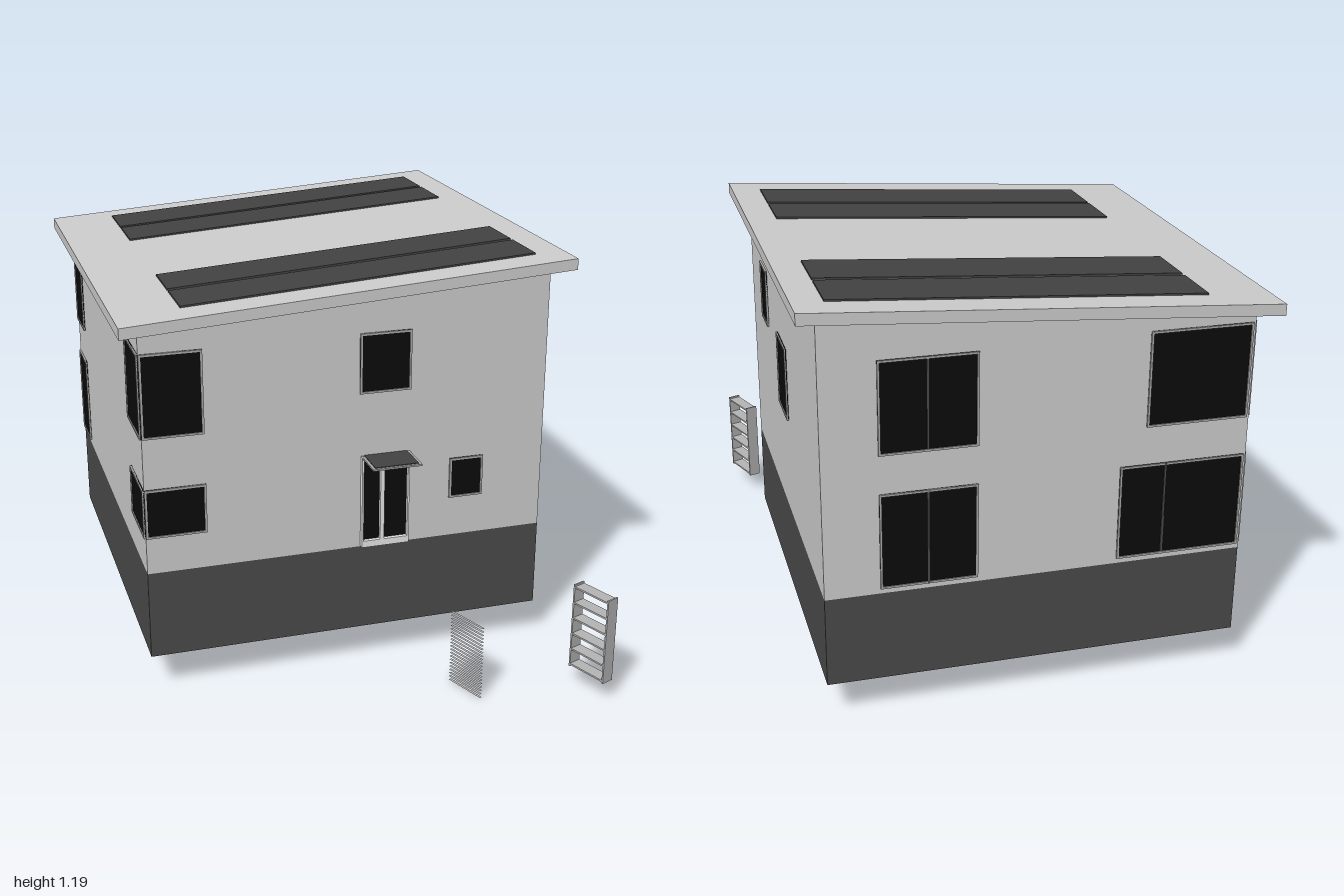
import * as THREE from 'three';

const mat = (name, color, side = THREE.FrontSide) => {
  const m = new THREE.MeshStandardMaterial({ color, side });
  m.name = name;
  return m;
};

export function createModel() {
  const wallMat = mat('pale grey render', 0xcccccc);
  const baseMat = mat('dark grey plinth', 0x4a4a4a);
  const glassMat = mat('black glass', 0x0b0b0b);
  const solarMat = mat('solar grey', 0x424242);
  const frameMat = mat('frame grey', 0xa8a8a8);
  const whiteMat = mat('white trim', 0xf0f0f0);
  const slatMat = mat('slat grey', 0xb4b4b4, THREE.DoubleSide);

  const model = new THREE.Group();
  const house = new THREE.Group();
  house.name = 'house';
  house.position.x = -0.17;
  house.rotation.y = -0.366;
  model.add(house);

  const HALF = 0.587, ROOF = 0.6425, SLOPE = -0.0677;

  // Box given by its limits on each axis
  function box(parent, name, material, [x0, x1], [y0, y1], [z0, z1]) {
    const mesh = new THREE.Mesh(new THREE.BoxGeometry(x1 - x0, y1 - y0, z1 - z0), material);
    mesh.position.set((x0 + x1) / 2, (y0 + y1) / 2, (z0 + z1) / 2);
    mesh.name = name;
    parent.add(mesh);
    return mesh;
  }

  // Tilts a box to the roof pitch; topOnly leaves the lower face level
  function pitch(mesh, topOnly = false) {
    const p = mesh.geometry.attributes.position;
    for (let i = 0; i < p.count; i++) {
      if (topOnly && p.getY(i) < 0) continue;
      p.setY(i, p.getY(i) + SLOPE * (p.getZ(i) + mesh.position.z));
    }
    mesh.geometry.computeVertexNormals();
  }

  // Main body and mono-pitch roof
  box(house, 'plinth', baseMat, [-HALF, HALF], [0.11, 0.37], [-HALF, HALF]);
  pitch(box(house, 'walls', wallMat, [-HALF, HALF], [0.37, 1.114], [-HALF, HALF]), true);
  pitch(box(house, 'roof', wallMat, [-ROOF, ROOF], [1.114, 1.146], [-ROOF, ROOF]));

  // Solar strips lying on the roof
  for (const [a, b] of [[-0.555, -0.395], [-0.378, -0.218], [0.212, 0.37], [0.387, 0.545]])
    pitch(box(house, 'solarPanel', solarMat, [a, b], [1.146, 1.151], [-0.557, 0.461]));

  // Each wall group has x along the wall and z pointing outwards
  const wall = (name, turn) => {
    const g = new THREE.Group();
    g.name = name;
    g.rotation.y = turn;
    house.add(g);
    return g;
  };
  const front = wall('frontWall', 0);
  const right = wall('rightWall', Math.PI / 2);
  const left = wall('leftWall', -Math.PI / 2);
  const back = wall('backWall', Math.PI);

  // Glass plate with a slim frame and an optional upright bar
  function pane(g, x0, x1, y0, y1, bar) {
    const t = 0.006, z = [HALF, HALF + 0.006];
    box(g, 'windowGlass', glassMat, [x0, x1], [y0, y1], [HALF, HALF + 0.003]);
    for (const x of [x0, x1 - t]) box(g, 'windowFrame', frameMat, [x, x + t], [y0, y1], z);
    for (const y of [y0, y1 - t]) box(g, 'windowFrame', frameMat, [x0, x1], [y, y + t], z);
    if (bar !== undefined) box(g, 'windowBar', baseMat, [bar - 0.003, bar + 0.003], [y0, y1], z);
  }

  // Corner windows, front left
  pane(front, -0.58, -0.434, 0.77, 1.04);
  pane(front, -0.58, -0.434, 0.385, 0.66);
  pane(left, 0.293, 0.58, 0.77, 1.04);
  pane(left, 0.224, 0.58, 0.385, 0.66, 0.353);

  // Corner windows, front right
  for (const [y0, y1] of [[0.77, 1.01], [0.478, 0.622]]) {
    pane(front, 0.397, HALF, y0, y1);
    pane(right, -HALF, -0.415, y0, y1);
  }

  // Single windows
  pane(left, -0.436, -0.17, 0.77, 1.03, -0.305);
  pane(left, -0.436, -0.17, 0.385, 0.66, -0.305);
  pane(right, 0.027, 0.177, 0.837, 1.012);
  pane(right, 0.3, 0.402, 0.49, 0.612);
  pane(back, -0.372, -0.258, 0.838, 1.012);
  pane(back, -0.078, 0.075, 0.67, 0.887);

  // Glazed entrance with white frame, step and thin canopy
  const doorZ = [HALF, HALF + 0.016];
  box(right, 'doorGlass', glassMat, [0.034, 0.173], [0.39, 0.65], [HALF, HALF + 0.004]);
  for (const x of [0.032, 0.087, 0.169])
    box(right, 'doorFrame', whiteMat, [x, x + (x === 0.087 ? 0.012 : 0.005)], [0.372, 0.65], doorZ);
  box(right, 'doorSill', whiteMat, [0.032, 0.174], [0.372, 0.392], doorZ);
  box(right, 'canopyFrame', frameMat, [0.034, 0.178], [0.645, 0.65], [HALF, 0.692]);
  box(right, 'canopyGlass', solarMat, [0.042, 0.17], [0.65, 0.652], [HALF, 0.684]);

  // Free-standing rack: two side rails and six rungs
  const rack = new THREE.Group();
  rack.name = 'rack';
  model.add(rack);
  for (const x of [0.866, 0.991])
    box(rack, 'rackRail', slatMat, [x, x + 0.005], [0.058, 0.318], [-0.245, -0.207]);
  for (let i = 0; i < 6; i++) {
    const y = 0.065 + i * 0.049;
    box(rack, 'rackRung', slatMat, [0.866, 0.996], [y - 0.0025, y + 0.0025], [-0.245, -0.207]);
  }

  // Slatted blind made of thin level strips
  const blind = new THREE.Group();
  blind.name = 'blind';
  model.add(blind);
  for (let i = 0; i <= 20; i++) {
    const slat = new THREE.Mesh(new THREE.PlaneGeometry(0.13, 0.008), slatMat);
    slat.rotation.x = -Math.PI / 2;
    slat.position.set(0.705, i * 0.011, -0.045 + 0.09);
    slat.name = 'blindSlat';
    blind.add(slat);
  }
  return model;
}
